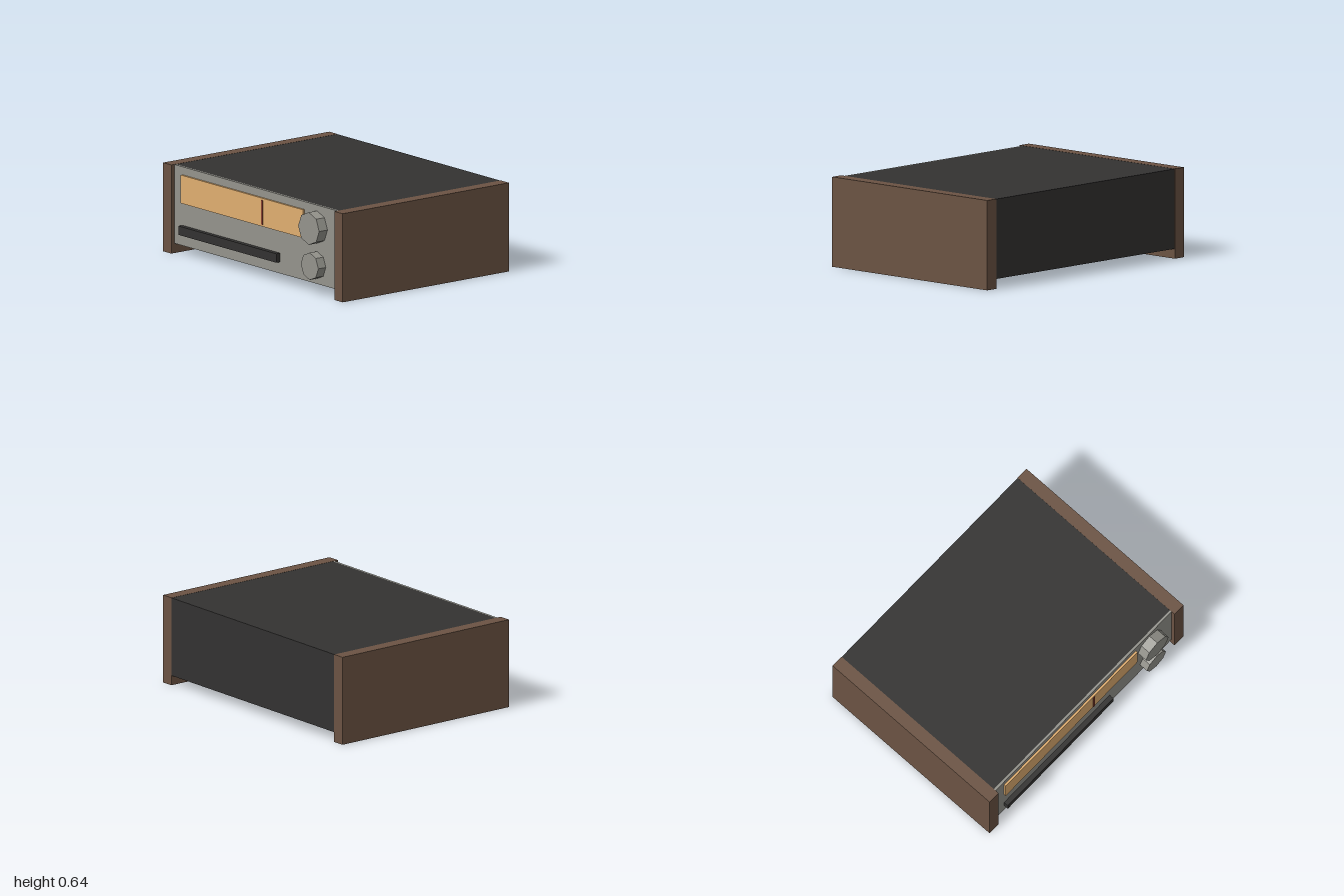
import * as THREE from 'three';

const material = (color) => new THREE.MeshStandardMaterial({ color, flatShading: true });

export function createModel() {
  const model = new THREE.Group();
  model.name = 'stereoReceiver';

  const wood = material(0x6b5343);
  const dark = material(0x333231);
  const metal = material(0x94938c);
  const amber = material(0xe0ae70);
  const red = material(0x8a4232);

  // Box given by its lower and upper limits on each axis
  const box = (name, mat, [x0, x1], [y0, y1], [z0, z1]) => {
    const mesh = new THREE.Mesh(new THREE.BoxGeometry(x1 - x0, y1 - y0, z1 - z0), mat);
    mesh.position.set((x0 + x1) / 2, (y0 + y1) / 2, (z0 + z1) / 2);
    mesh.name = name;
    model.add(mesh);
  };

  // Eight-sided knob pointing forward
  const knob = (name, y, radius, z0, z1) => {
    const geometry = new THREE.CylinderGeometry(radius, radius, z1 - z0, 8);
    geometry.rotateX(Math.PI / 2);
    const mesh = new THREE.Mesh(geometry, metal);
    mesh.position.set(0.68, y, (z0 + z1) / 2);
    mesh.name = name;
    model.add(mesh);
  };

  // Cabinet: dark case held between two wooden cheeks
  box('case', dark, [-0.91, 0.91], [0.07, 0.637], [-0.772, 0.68]);
  box('leftSidePanel', wood, [0.908, 1], [0, 0.638], [-0.774, 0.724]);
  box('rightSidePanel', wood, [-1, -0.908], [0, 0.638], [-0.774, 0.724]);

  // Front plate with tuning dial and needle
  box('frontPlate', metal, [-0.91, 0.91], [0.07, 0.637], [0.68, 0.696]);
  box('tuningDial', amber, [-0.82, 0.54], [0.377, 0.58], [0.69, 0.711]);
  box('dialNeedle', red, [0.08, 0.098], [0.39, 0.566], [0.7, 0.716]);
  box('buttonBar', dark, [-0.82, 0.27], [0.152, 0.216], [0.69, 0.731]);

  // Controls
  knob('tuningKnob', 0.479, 0.117, 0.69, 0.771);
  knob('volumeKnob', 0.206, 0.098, 0.69, 0.763);

  return model;
}
